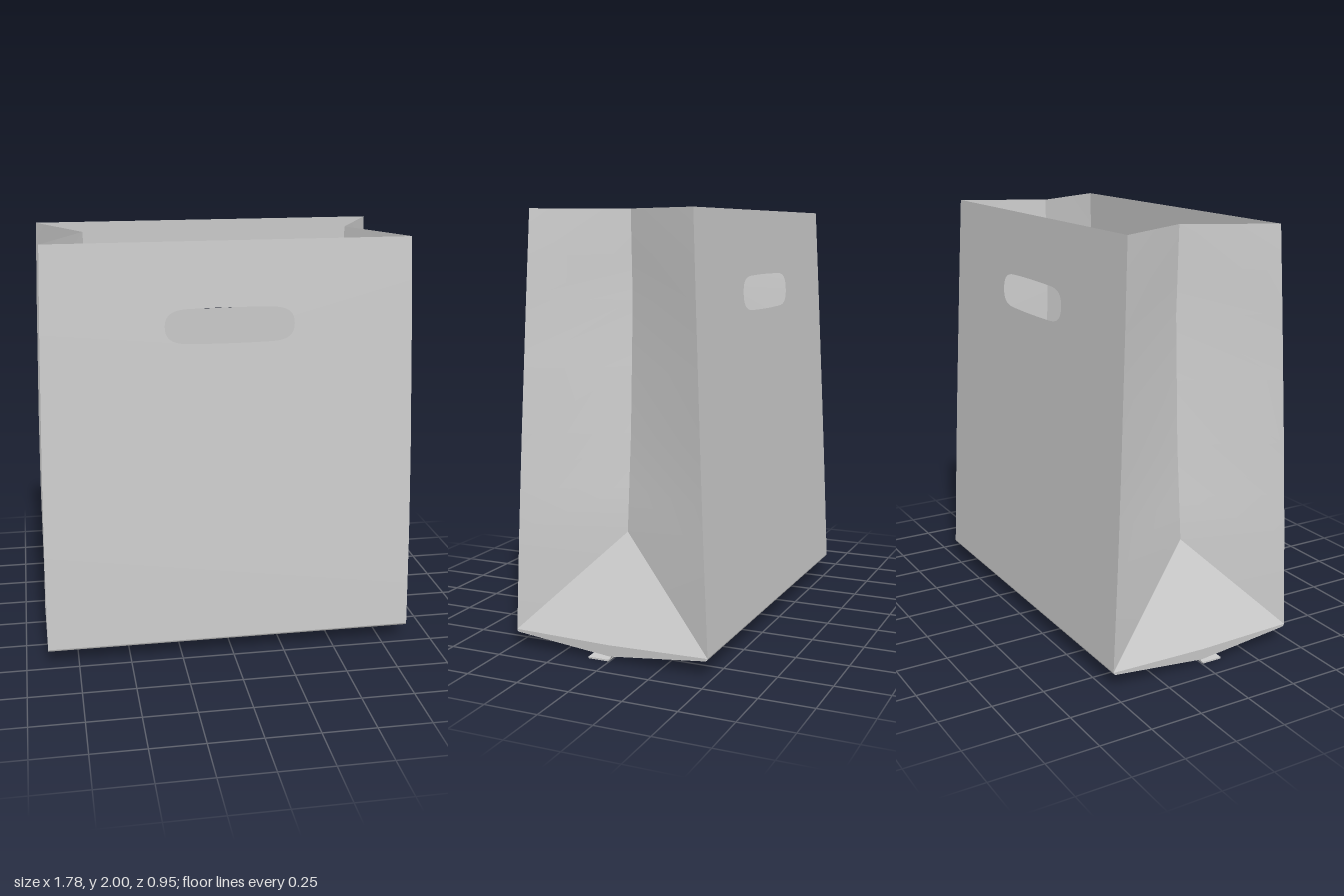
import * as THREE from 'three';

const material = new THREE.MeshStandardMaterial({ color: 0xcccccc, side: THREE.DoubleSide });
const TOP = 2, BASE = 0.085, APEX_Y = 0.55, SHIFT = -0.008;
const LEVELS = [2, 1.8, 1.6, 1.3, 1, 0.75, APEX_Y];

// Piecewise-linear lookup in [position, value] pairs
function lookup(pairs, t) {
  for (let i = 1; i < pairs.length; i++) {
    const [a, va] = pairs[i - 1], [b, vb] = pairs[i];
    if (t <= b) return THREE.MathUtils.lerp(va, vb, (t - a) / (b - a));
  }
  return pairs[pairs.length - 1][1];
}

// Outline of the bag: half width, half depth and inward crease, by height
const halfWidth = y => lookup([[0, 0.888], [0.6, 0.885], [1, 0.877], [1.6, 0.86], [2, 0.846]], y);
const halfDepth = y => THREE.MathUtils.lerp(0.476, 0.39, (y - BASE) / (TOP - BASE));
const creaseX = y => lookup([[APEX_Y, 0.69], [1, 0.65], [1.6, 0.622], [2, 0.635]], y);

// Sheet through rows of points, all rows the same length
function loft(name, rows) {
  const n = rows[0].length, index = [];
  for (let r = 0; r < rows.length - 1; r++) {
    for (let c = 0; c < n - 1; c++) {
      const a = r * n + c, b = a + n;
      index.push(a, b, a + 1, b, b + 1, a + 1);
    }
  }
  const geometry = new THREE.BufferGeometry();
  geometry.setAttribute('position', new THREE.Float32BufferAttribute(rows.flat(2), 3));
  geometry.setIndex(index);
  geometry.computeVertexNormals();
  const mesh = new THREE.Mesh(geometry, material);
  mesh.name = name;
  return mesh;
}

// Stadium-like grip hole with slightly bowed long edges
function gripHole() {
  const h = new THREE.Path();
  const x = 0.3, lo = 1.535, hi = 1.7, mid = (lo + hi) / 2;
  h.moveTo(-x, mid);
  h.bezierCurveTo(-x, hi - 0.03, -x + 0.03, hi - 0.007, -0.2, hi - 0.003);
  h.quadraticCurveTo(0, hi + 0.003, 0.2, hi - 0.003);
  h.bezierCurveTo(x - 0.03, hi - 0.007, x, hi - 0.03, x, mid);
  h.bezierCurveTo(x, lo + 0.03, x - 0.03, lo + 0.007, 0.2, lo + 0.003);
  h.quadraticCurveTo(0, lo - 0.003, -0.2, lo + 0.003);
  h.bezierCurveTo(-x + 0.03, lo + 0.007, -x, lo + 0.03, -x, mid);
  return h;
}

// Large panel, leaning inward toward the top
function widePanel(name, side) {
  const heights = [...LEVELS, 0.3, BASE];
  const outline = [
    ...heights.map(y => new THREE.Vector2(-halfWidth(y), y)),
    ...heights.slice().reverse().map(y => new THREE.Vector2(halfWidth(y), y)),
  ];
  const shape = new THREE.Shape(outline);
  shape.holes.push(gripHole());
  const geometry = new THREE.ShapeGeometry(shape, 16);
  const p = geometry.attributes.position;
  for (let i = 0; i < p.count; i++) p.setZ(i, halfDepth(p.getY(i)));
  geometry.computeVertexNormals();
  const mesh = new THREE.Mesh(geometry, material);
  mesh.name = name;
  if (side < 0) mesh.rotation.y = Math.PI;
  return mesh;
}

// Folded side: two leaning halves meeting in a crease, and the base triangle
function gusset(name, s) {
  const group = new THREE.Group();
  group.name = name;
  const apex = [s * creaseX(APEX_Y), APEX_Y, 0];
  const corner = z => [s * halfWidth(BASE), BASE, z * halfDepth(BASE)];
  for (const z of [1, -1]) {
    const rows = LEVELS.map(y => [
      [s * halfWidth(y), y, z * halfDepth(y)],
      [s * creaseX(y), y, 0],
    ]);
    rows.push([corner(z), apex]);
    group.add(loft(z > 0 ? 'frontGussetHalf' : 'backGussetHalf', rows));
  }
  const lowerEdge = [corner(1), [s * 0.892, 0.078, 0], corner(-1)];
  group.add(loft('baseTriangle', [[apex, apex, apex], lowerEdge]));
  // Narrow end below the triangle, closing against the sloping floor
  group.add(loft('baseEnd', [lowerEdge, floorEnds.map(([z, y]) => [s * 0.887, y, z])]));
  return group;
}

const floorEnds = [[0.462, 0.072], [0, 0.024], [-0.462, 0.072]];

export function createModel() {
  const bag = new THREE.Group();
  bag.name = 'paperBag';
  const body = new THREE.Group();
  body.name = 'bagBody';
  body.position.x = SHIFT;
  bag.add(body);

  body.add(widePanel('frontPanel', 1), widePanel('backPanel', -1));
  body.add(gusset('leftGusset', 1), gusset('rightGusset', -1));

  // Floor halves with a softly rounded outer edge, sloping to the centre seam
  for (const z of [1, -1]) {
    const edge = [[0.476, BASE], [0.474, 0.078], [0.469, 0.074], [0.46, 0.072], [0.44, 0.07], [0, 0.024]];
    const rows = edge.map(([d, y]) => [[-0.888, y, z * d], [0.888, y, z * d]]);
    body.add(loft(z > 0 ? 'frontFloor' : 'backFloor', rows));
  }

  // Glued seam flap folded forward under the floor
  const seam = [[-0.012, 0.026], [-0.004, 0.014], [0.006, 0.007], [0.02, 0.005], [0.105, 0.005]];
  body.add(loft('seamFlap', seam.map(([z, y]) => [[-0.888, y, z], [0.888, y, z]])));
  const flap = new THREE.Mesh(new THREE.BoxGeometry(1.776, 0.008, 0.1), material);
  flap.name = 'seamFlapFold';
  flap.position.set(0, 0.004, 0.055);
  body.add(flap);

  return bag;
}
